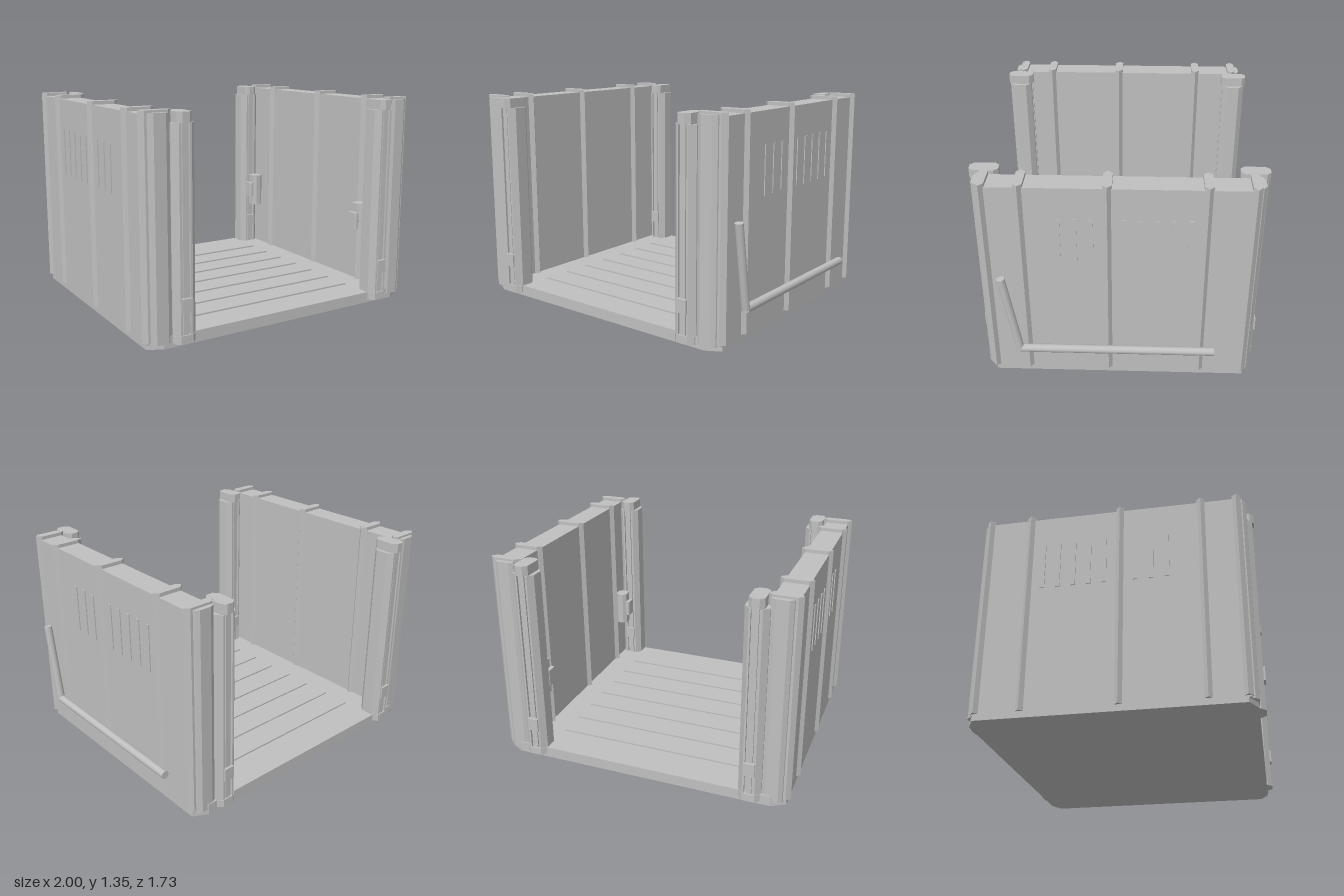
import * as THREE from 'three';

const steel = new THREE.MeshStandardMaterial({ color: 0xc0c0c0 });
steel.name = 'grey steel';

export function createModel() {
  const model = new THREE.Group();
  model.name = 'openPen';

  function add(name, geometry, parent = model) {
    const mesh = new THREE.Mesh(geometry, steel);
    mesh.name = name;
    parent.add(mesh);
    return mesh;
  }

  // Box given by its limits on each axis
  function box(name, x0, x1, y0, y1, z0, z1, parent) {
    const mesh = add(name, new THREE.BoxGeometry(x1 - x0, y1 - y0, z1 - z0), parent);
    mesh.position.set((x0 + x1) / 2, (y0 + y1) / 2, (z0 + z1) / 2);
    return mesh;
  }

  // Upright prism from a plan outline of [x, z] points
  function prism(name, points, y0, y1, parent) {
    const shape = new THREE.Shape(points.map(([x, z]) => new THREE.Vector2(x, -z)));
    const geometry = new THREE.ExtrudeGeometry(shape, { depth: y1 - y0, bevelEnabled: false });
    geometry.rotateX(-Math.PI / 2);
    geometry.translate(0, y0, 0);
    return add(name, geometry, parent);
  }

  // Rectangle with cut corners
  const octagon = (cx, cz, hx, hz, cutX, cutZ = cutX) => [
    [cx - hx, cz - hz + cutZ], [cx - hx + cutX, cz - hz], [cx + hx - cutX, cz - hz], [cx + hx, cz - hz + cutZ],
    [cx + hx, cz + hz - cutZ], [cx + hx - cutX, cz + hz], [cx - hx + cutX, cz + hz], [cx - hx, cz + hz - cutZ],
  ];

  // Round bar between two points
  function bar(name, a, b, radius, parent) {
    const from = new THREE.Vector3(...a), to = new THREE.Vector3(...b);
    const dir = to.clone().sub(from);
    const mesh = add(name, new THREE.CylinderGeometry(radius, radius, dir.length(), 10), parent);
    mesh.position.copy(from).add(to).multiplyScalar(0.5);
    mesh.quaternion.setFromUnitVectors(new THREE.Vector3(0, 1, 0), dir.normalize());
  }

  // Floor with clipped corners and raised slats
  prism('floor', octagon(-0.025, -0.005, 0.952, 0.825, 0.09, 0.05), 0, 0.07);
  for (let i = 0; i < 7; i++) {
    const z = -0.56 + i * 0.1895;
    box('floorSlat', -0.66, 0.615, 0.07, 0.08, z - 0.04, z + 0.04);
  }

  // Side walls, mirrored about the pen's own centre line
  const ribZ = [-0.77, -0.505, 0.06, 0.557, 0.77];
  const ventZ = [0.345, 0.25, 0.155, -0.035, -0.13, -0.225, -0.32, -0.415];
  for (const side of [-1, 1]) {
    const wall = new THREE.Group();
    wall.name = side > 0 ? 'leftWall' : 'rightWall';
    wall.position.x = -0.025;
    model.add(wall);
    const span = (a, b) => [Math.min(side * a, side * b), Math.max(side * a, side * b)];

    box('wallPanel', ...span(0.8, 0.952), 0.03, 1.33, -0.79, 0.79, wall);

    // Pointed ribs running through the wall
    for (const z of ribZ) {
      prism('wallRib', [
        [side * 0.775, z], [side * 0.803, z - 0.027], [side * 0.947, z - 0.027],
        [side * 0.975, z], [side * 0.947, z + 0.027], [side * 0.803, z + 0.027],
      ], 0.04, 1.352, wall);
    }

    // Ventilation strips on the outer face
    for (const z of ventZ) {
      box('ventStrip', ...span(0.95, 0.958), 0.83, 1.13, z - 0.013, z + 0.013, wall);
    }

    for (const end of [-1, 1]) {
      // Tapered end of the wall
      prism('wallEnd', [
        [side * 0.80, end * 0.78], [side * 0.935, end * 0.78], [side * 0.93, end * 0.805],
        [side * 0.905, end * 0.825], [side * 0.83, end * 0.825], [side * 0.80, end * 0.81],
      ], 0.03, 1.338, wall);

      // Gate post: wide sleeve, taller core, front rod, latch and foot
      const px = side * 0.73, pz = end * 0.78;
      const post = new THREE.Group();
      post.name = 'gatePost';
      post.position.set(px, 0, pz);
      wall.add(post);
      for (const s of [-1, 1]) {
        prism('postSleeve', [
          [s * 0.028, -0.075], [s * 0.04, -0.075], [s * 0.073, -0.04],
          [s * 0.073, 0.04], [s * 0.04, 0.075], [s * 0.028, 0.075],
        ], 0.02, 1.28, post);
      }
      box('postCore', -0.03, 0.03, 0.02, 1.3, -0.06, 0.06, post);
      prism('postCap', octagon(0, 0, 0.047, 0.086, 0.025), 1.28, 1.342, post);
      box('postRod', -0.018, 0.018, 0.05, 1.29, -0.07, 0.07, post);
      box('postLatch', -0.035, 0.035, 0.205, 0.29, -0.086, 0.086, post);
      prism('postFoot', octagon(0, 0, 0.07, 0.078, 0.03), 0.02, 0.07, post);
    }
  }

  // Drinkers beside the posts of one wall
  for (const z of [-0.662, 0.61]) {
    prism('drinkerBody', octagon(0.725, z, 0.042, 0.048, 0.022), 0.39, 0.63);
    prism('drinkerNozzle', octagon(0.671, z, 0.017, 0.04, 0.008), 0.46, 0.57);
  }

  // Bent pipe along the outside of the left wall
  bar('pipeRun', [0.973, 0.217, -0.59], [0.973, 0.217, 0.603], 0.026);
  bar('pipeRise', [0.973, 0.213, 0.605], [0.973, 0.74, 0.69], 0.026);

  // Flat-shaded normals throughout
  model.traverse((o) => {
    if (o.isMesh && o.geometry.type !== 'CylinderGeometry') {
      o.geometry = o.geometry.index ? o.geometry.toNonIndexed() : o.geometry;
      o.geometry.computeVertexNormals();
    }
  });
  return model;
}
